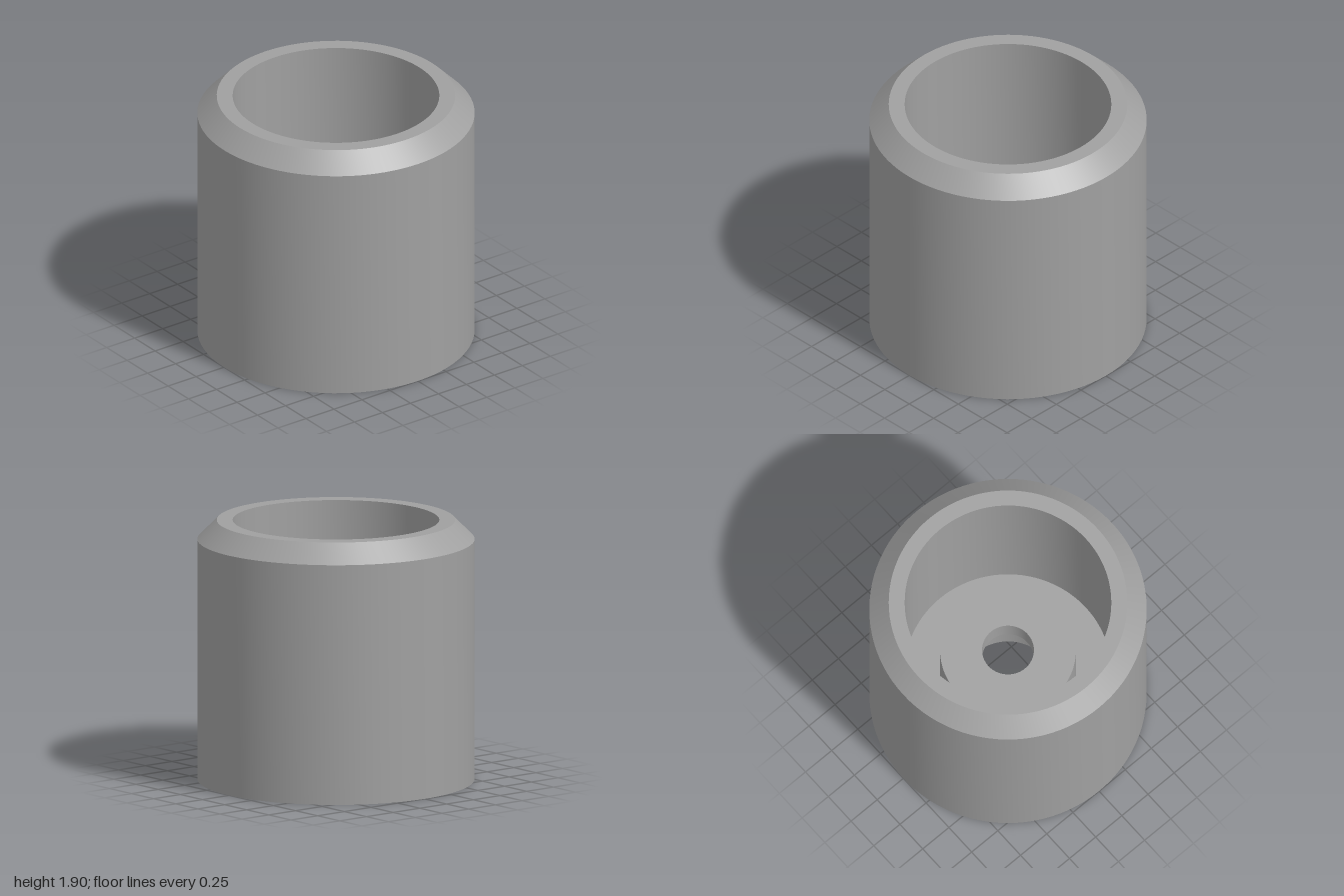
import * as THREE from 'three';
import { toCreasedNormals } from 'three/addons/utils/BufferGeometryUtils.js';

const FLOOR_BOTTOM = 0.14, FLOOR_TOP = 0.45;
const BOSS_TOP = 0.9, BORE_TOP = 0.72;

export function createModel() {
  const group = new THREE.Group();
  const grey = new THREE.MeshStandardMaterial({ color: 0xa0a0a0 });
  grey.name = 'grey';

  const add = (name, geometry) => {
    const mesh = new THREE.Mesh(toCreasedNormals(geometry, Math.PI / 6), grey);
    mesh.name = name;
    group.add(mesh);
  };
  // closed [radius, height] profile turned around the y axis
  const turned = (profile) =>
    new THREE.LatheGeometry([...profile, profile[0]].map(([r, y]) => new THREE.Vector2(r, y)), 96);

  // outer wall with a chamfered rim, a wide bore above and a shallow recess below
  add('outerWall', turned([
    [0.86, 0], [1, 0], [1, 1.76], [0.86, 1.9], [0.745, 1.9], [0.745, FLOOR_TOP], [0.86, FLOOR_TOP],
  ]));

  // raised centre with a stepped hole
  add('centreBoss', turned([
    [0.49, FLOOR_TOP], [0.49, BOSS_TOP], [0.187, BOSS_TOP], [0.187, BORE_TOP],
    [0.343, BORE_TOP], [0.343, FLOOR_TOP],
  ]));

  // floor with the centre hole and one offset hole towards the front
  const disc = new THREE.Shape().absarc(0, 0, 0.86, 0, Math.PI * 2);
  for (const [y, r] of [[0, 0.343], [-0.64, 0.187]]) {
    disc.holes.push(new THREE.Path().absarc(0, y, r, 0, Math.PI * 2, true));
  }
  const floor = new THREE.ExtrudeGeometry(disc, {
    depth: FLOOR_TOP - FLOOR_BOTTOM, bevelEnabled: false, curveSegments: 48,
  });
  floor.rotateX(-Math.PI / 2).translate(0, FLOOR_BOTTOM, 0);
  add('floor', floor);

  return group;
}
